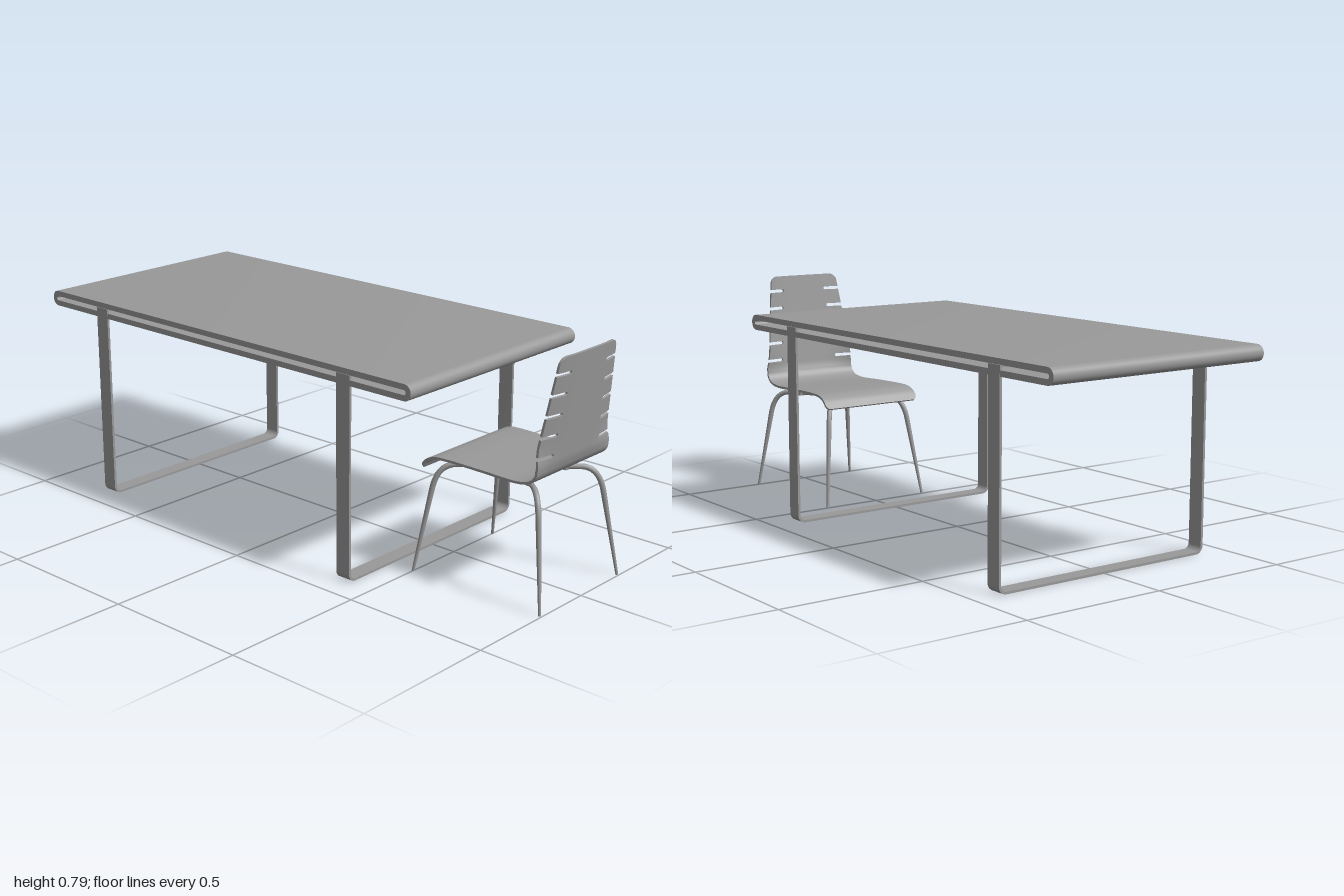
import * as THREE from 'three';
import { toCreasedNormals } from 'three/addons/utils/BufferGeometryUtils.js';

const material = new THREE.MeshStandardMaterial({ color: 0x999999 });

function add(parent, name, geometry) {
  const mesh = new THREE.Mesh(geometry, material);
  mesh.name = name;
  parent.add(mesh);
  return mesh;
}

// Creased normals, computed at a large scale so that fine vertices stay apart
function crease(geometry, angle) {
  const k = 1000;
  geometry.scale(k, k, k);
  return toCreasedNormals(geometry, angle).scale(1 / k, 1 / k, 1 / k);
}

// Horizontal stadium outline between x0 and x1
function stadium(PathClass, x0, x1, y, r) {
  const p = new PathClass();
  p.moveTo(x0 + r, y - r);
  p.lineTo(x1 - r, y - r);
  p.absarc(x1 - r, y, r, -Math.PI / 2, Math.PI / 2, false);
  p.lineTo(x0 + r, y + r);
  p.absarc(x0 + r, y, r, Math.PI / 2, Math.PI * 1.5, false);
  return p;
}

// Rectangle with rounded lower corners
function frameOutline(PathClass, w, y0, y1, r) {
  const p = new PathClass();
  p.moveTo(-w + r, y0);
  p.lineTo(w - r, y0);
  p.absarc(w - r, y0 + r, r, -Math.PI / 2, 0, false);
  p.lineTo(w, y1);
  p.lineTo(-w, y1);
  p.lineTo(-w, y0 + r);
  p.absarc(-w + r, y0 + r, r, Math.PI, Math.PI * 1.5, false);
  return p;
}

function extrudeCentred(shape, depth) {
  const g = new THREE.ExtrudeGeometry(shape, { depth, bevelEnabled: false, curveSegments: 12 });
  g.translate(0, 0, -depth / 2);
  return crease(g, 0.6);
}

function createTable() {
  const table = new THREE.Group();
  table.name = 'table';

  // Folded top: a flat loop, open at both long edges
  const top = stadium(THREE.Shape, -1, 0.654, 0.672, 0.0265);
  top.holes.push(stadium(THREE.Path, -0.981, 0.635, 0.672, 0.0078));
  add(table, 'tableTop', extrudeCentred(top, 0.8264));

  // Flat-bar leg frames
  for (const x of [-0.735, 0.387]) {
    const frame = frameOutline(THREE.Shape, 0.4136, 0, 0.679, 0.028);
    frame.holes.push(frameOutline(THREE.Path, 0.405, 0.008, 0.672, 0.02));
    const g = extrudeCentred(frame, 0.054);
    g.rotateY(Math.PI / 2);
    add(table, 'legFrame', g).position.x = x;
  }
  return table;
}

// Rows of the chair shell: centre point, tangent and half width
function shellRows() {
  const rows = [];
  const seat = new THREE.CatmullRomCurve3([
    [0.517, 0.353], [0.535, 0.379], [0.565, 0.394], [0.618, 0.398], [0.75, 0.396],
    [0.885, 0.394], [0.925, 0.404], [0.945, 0.425], [0.953, 0.45],
  ].map(([x, y]) => new THREE.Vector3(x, y, 0)));
  const n = 60;
  for (let i = 0; i < n; i++) {
    const t = i / n;
    const corner = 0.012 * Math.max(0, 1 - t * 25) ** 2;
    rows.push({ p: seat.getPointAt(t), t: seat.getTangentAt(t), w: 0.197 - 0.012 * t - corner });
  }

  // Straight back, with rounded slits cut in from both edges
  const tangent = new THREE.Vector3(0.041, 0.343, 0).normalize();
  const full = (y) => 0.185 - (y - 0.45) * 0.13;
  const back = (y, w) => rows.push({
    p: new THREE.Vector3(0.954 + (y - 0.45) * 0.118, y, 0), t: tangent, w });
  back(0.45, full(0.45));
  back(0.465, full(0.465));
  const r = 0.0055;
  for (let k = 0; k < 5; k++) {
    const y = 0.479 + k * 0.0645;
    const end = 0.116 - k * 0.007;
    back(y - r, full(y - r));
    for (let j = 0; j <= 8; j++) {
      const a = -Math.PI / 2 + (j / 8) * Math.PI;
      back(y + r * Math.sin(a), end + r - r * Math.cos(a));
    }
    back(y + r, full(y + r));
    if (k < 4) back(y + 0.032, full(y + 0.032));
  }

  // Rounded top corners
  const R = 0.026;
  for (let j = 0; j <= 8; j++) {
    const a = (j / 8) * Math.PI / 2;
    const y = 0.791 - R + R * Math.sin(a);
    back(y, full(y) - R * (1 - Math.cos(a)));
  }
  return rows;
}

function createShellGeometry() {
  const cols = 24, loop = 2 * (cols + 1), half = 0.004;
  const rows = shellRows();
  const pos = [], index = [];
  for (const { p, t, w } of rows) {
    for (let j = 0; j < loop; j++) {
      const side = j <= cols ? 1 : -1;
      const u = side > 0 ? j / cols : (loop - 1 - j) / cols;
      const z = (2 * u - 1) * w;
      // The back wraps forward towards its edges
      const wrap = 0.011 * THREE.MathUtils.smoothstep(p.y, 0.41, 0.52)
        * (Math.max(0, Math.abs(z) - 0.05) / 0.1) ** 2;
      pos.push(p.x - t.y * half * side - wrap, p.y + t.x * half * side, z);
    }
  }
  for (let i = 0; i < rows.length - 1; i++) {
    for (let j = 0; j < loop; j++) {
      const a = i * loop + j, b = i * loop + (j + 1) % loop;
      index.push(a, b, a + loop, b, b + loop, a + loop);
    }
  }
  // Close the front edge and the top edge
  const last = (rows.length - 1) * loop;
  for (let j = 0; j < cols; j++) {
    const a = j, b = j + 1, c = loop - 1 - j, d = loop - 2 - j;
    index.push(a, c, b, b, c, d);
    index.push(last + a, last + b, last + c, last + b, last + d, last + c);
  }
  const g = new THREE.BufferGeometry();
  g.setAttribute('position', new THREE.Float32BufferAttribute(pos, 3));
  g.setIndex(index);
  return crease(g, 0.6);
}

// Bent leg tube, thin at the foot, with closed ends
function createLegGeometry(sx, sz) {
  const at = (f, y) => new THREE.Vector3(sx * 0.247 * f, y, sz * 0.206 * f);
  const path = new THREE.CurvePath();
  path.add(new THREE.LineCurve3(at(1, 0.001), at(0.828, 0.28)));
  path.add(new THREE.QuadraticBezierCurve3(at(0.828, 0.28), at(0.777, 0.363), at(0.6, 0.363)));
  path.add(new THREE.LineCurve3(at(0.6, 0.363), at(0.045, 0.363)));
  const n = 70, sides = 12;
  const g = new THREE.TubeGeometry(path, n, 1, sides, false);
  const pos = g.attributes.position, v = new THREE.Vector3();
  for (let k = 0; k < pos.count; k++) {
    const i = Math.floor(k / (sides + 1));
    const t = (THREE.MathUtils.clamp(i, 1, n - 1) - 1) / (n - 2);
    const radius = i === 0 || i === n ? 0 : 0.0045 + 0.0045 * Math.min(1, t / 0.48);
    v.fromBufferAttribute(pos, k).sub(path.getPointAt(i / n)).multiplyScalar(radius);
    v.add(path.getPointAt(t));
    pos.setXYZ(k, v.x, v.y, v.z);
  }
  return crease(g, 0.8);
}

function createChair() {
  const chair = new THREE.Group();
  chair.name = 'chair';
  add(chair, 'seatShell', createShellGeometry());

  // Four legs meeting under the seat, each with a mounting post
  for (const sx of [-1, 1]) {
    for (const sz of [-1, 1]) {
      add(chair, 'chairLeg', createLegGeometry(sx, sz)).position.x = 0.747;
      const post = add(chair, 'mountingPost', new THREE.CylinderGeometry(0.011, 0.011, 0.041, 16));
      post.position.set(0.747 + sx * 0.112, 0.3735, sz * 0.0934);
    }
  }
  return chair;
}

export function createModel() {
  const model = new THREE.Group();
  model.name = 'tableAndChair';
  model.add(createTable(), createChair());
  return model;
}
